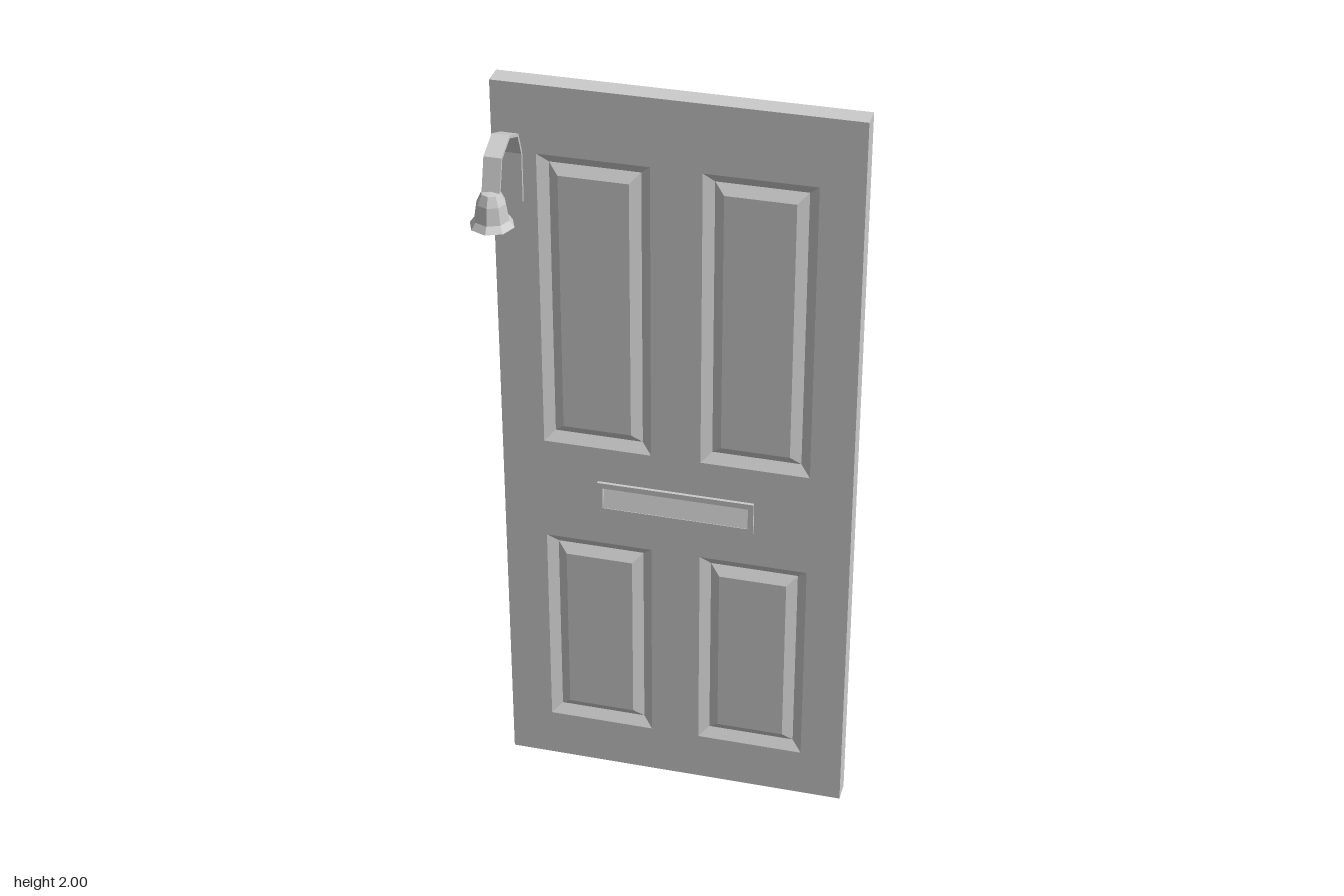
import * as THREE from 'three';

const DOOR_Z = -0.115, DOOR_T = 0.056;
const mat = new THREE.MeshStandardMaterial({ color: 0xcccccc, flatShading: true });
const thinMat = new THREE.MeshStandardMaterial({ color: 0xcccccc, flatShading: true, side: THREE.DoubleSide });

function add(parent, name, geometry, material = mat) {
  const mesh = new THREE.Mesh(geometry, material);
  mesh.name = name;
  parent.add(mesh);
  return mesh;
}

// Corners of a rectangle, counter-clockwise
const rect = (x, y, hw, hh) => [[x - hw, y - hh], [x + hw, y - hh], [x + hw, y + hh], [x - hw, y + hh]]
  .map(([a, b]) => new THREE.Vector2(a, b));

// Flat plate with rectangular holes, centred on z = 0
function plate(outline, holes, depth) {
  const shape = new THREE.Shape(outline);
  shape.holes = holes.map(h => new THREE.Path(h.slice().reverse()));
  return new THREE.ExtrudeGeometry(shape, { depth, bevelEnabled: false }).translate(0, 0, -depth / 2);
}

// Upright profile (z, y) extruded across x, centred on x = 0
function sideExtrude(points, width) {
  const shape = new THREE.Shape(points.map(p => new THREE.Vector2(...p)));
  return new THREE.ExtrudeGeometry(shape, { depth: width, bevelEnabled: false })
    .translate(0, 0, -width / 2).rotateY(-Math.PI / 2);
}

// Raised field surrounded by a V groove on both faces
function panelGeometry(w, h) {
  const t = DOOR_T / 2, groove = 0.018, band = 0.026;
  const front = [[0, t], [band, t - groove], [2 * band, t]];
  const pos = [];
  for (const side of [1, -1]) {
    const rings = front.map(([inset, z]) =>
      rect(0, 0, w / 2 - inset, h / 2 - inset).map(p => [p.x, p.y, z * side]));
    const quad = (a, b, c, d) => pos.push(...(side > 0 ? [a, b, c, a, c, d] : [a, c, b, a, d, c]).flat());
    for (let r = 0; r < 2; r++) {
      for (let i = 0; i < 4; i++) {
        const j = (i + 1) % 4;
        quad(rings[r][i], rings[r][j], rings[r + 1][j], rings[r + 1][i]);
      }
    }
    quad(...rings[2]);
  }
  const g = new THREE.BufferGeometry();
  g.setAttribute('position', new THREE.Float32BufferAttribute(pos, 3));
  g.computeVertexNormals();
  return g;
}

// Curved strap from a (z, y) centre line with constant thickness
function strapGeometry(line, thickness, width) {
  const pts = line.map(p => new THREE.Vector2(...p));
  const offset = s => pts.map((p, i) => {
    const a = p.clone().sub(pts[Math.max(i - 1, 0)]).normalize();
    const b = pts[Math.min(i + 1, pts.length - 1)].clone().sub(p).normalize();
    const dir = a.add(b).normalize();
    return [p.x - dir.y * s, p.y + dir.x * s];
  });
  return sideExtrude([...offset(thickness / 2), ...offset(-thickness / 2).reverse()], width);
}

export function createModel() {
  const model = new THREE.Group();
  model.name = 'doorWithBell';

  // Door leaf with openings for the panels and the letter slot
  const door = new THREE.Group();
  door.name = 'door';
  door.position.z = DOOR_Z;
  model.add(door);
  const panels = [];
  for (const x of [-0.204, 0.204]) {
    panels.push({ name: 'upperPanel', x, y: 1.415, w: 0.28, h: 0.81 });
    panels.push({ name: 'lowerPanel', x, y: 0.428, w: 0.28, h: 0.586 });
  }
  const slotY = 0.865;
  const slotHole = rect(0, slotY, 0.19, 0.03);
  const openings = panels.map(p => rect(p.x, p.y, p.w / 2, p.h / 2));
  add(door, 'doorFrame', plate(rect(0, 1, 0.454, 1), [...openings, slotHole], DOOR_T));
  for (const p of panels) {
    add(door, p.name, panelGeometry(p.w, p.h)).position.set(p.x, p.y, 0);
  }

  // Letter slot surround and sloping flaps on both faces
  add(door, 'letterSlotFrame', plate(rect(0, slotY, 0.204, 0.045), [slotHole], 0.073));
  add(door, 'letterSlotFlaps',
    sideExtrude([[-0.035, -0.03], [0.035, -0.03], [0.016, 0.03], [-0.016, 0.03]], 0.38)).position.y = slotY;

  // Bell on a bent strap bracket
  const bell = new THREE.Group();
  bell.name = 'doorBell';
  bell.position.x = -0.4;
  model.add(bell);
  add(bell, 'bellBracket', strapGeometry([
    [-0.083, 1.69], [-0.083, 1.82], [-0.059, 1.878], [0.004, 1.904], [0.068, 1.878], [0.092, 1.795],
  ], 0.008, 0.044));
  const profile = [[0.055, 1.715], [0.043, 1.732], [0.036, 1.775], [0.024, 1.8], [0, 1.803]]
    .map(p => new THREE.Vector2(...p));
  add(bell, 'bellCup', new THREE.LatheGeometry(profile, 8), thinMat).position.z = 0.092;

  return model;
}
